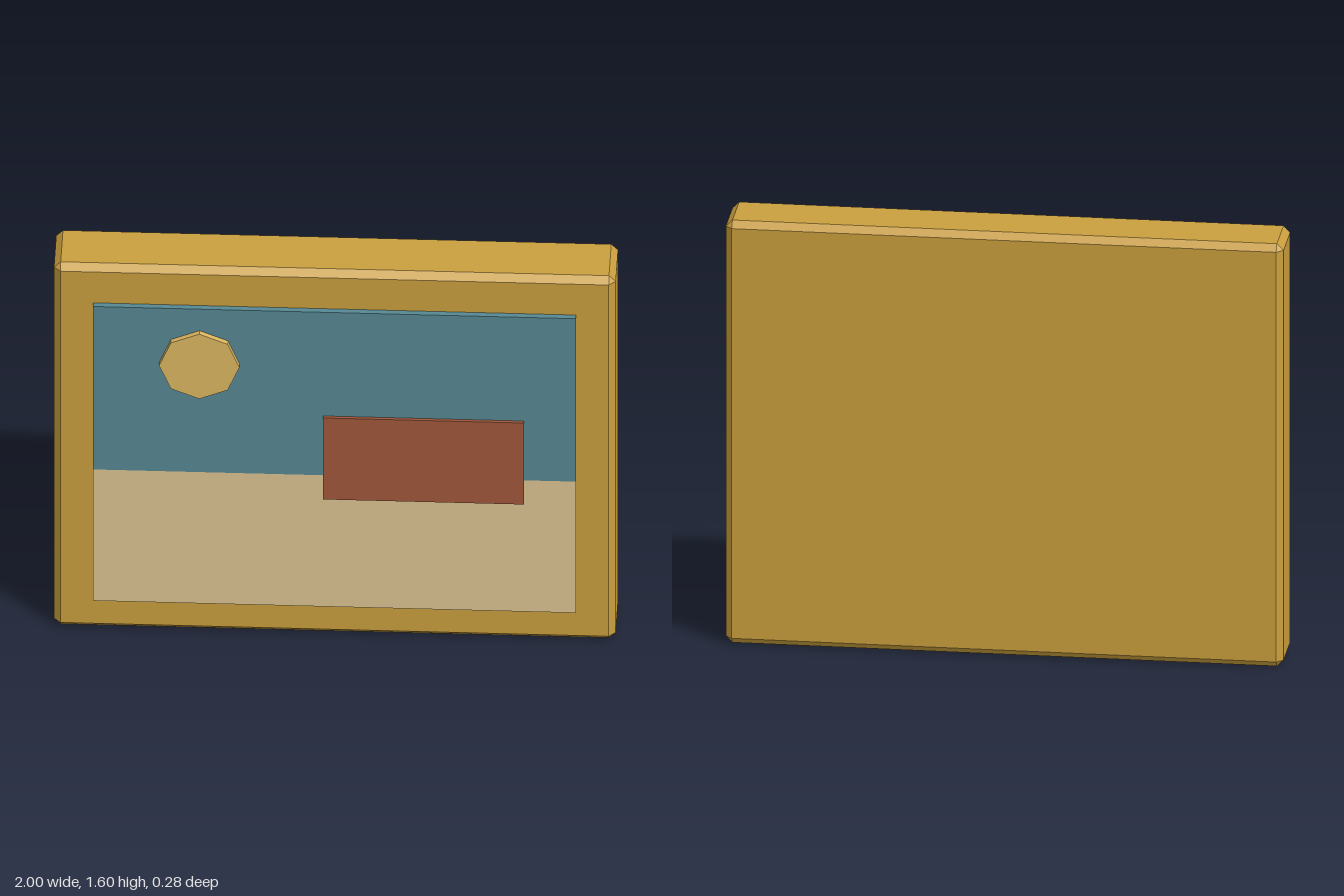
import * as THREE from 'three';
import { ConvexGeometry } from 'three/addons/geometries/ConvexGeometry.js';

const mat = (name, color) => {
  const m = new THREE.MeshStandardMaterial({ color });
  m.name = name;
  return m;
};

// Box with every edge cut by a flat chamfer
function chamferedBox(w, h, d, c) {
  const half = [w / 2, h / 2, d / 2];
  const points = [];
  for (const sx of [-1, 1]) for (const sy of [-1, 1]) for (const sz of [-1, 1]) {
    const signs = [sx, sy, sz];
    for (let axis = 0; axis < 3; axis++) {
      points.push(new THREE.Vector3(...half.map((v, i) => signs[i] * (i === axis ? v : v - c))));
    }
  }
  return new ConvexGeometry(points);
}

export function createModel() {
  const group = new THREE.Group();
  group.name = 'framedPicture';

  const gold = mat('gold', 0xc99e3d);
  const blue = mat('skyBlue', 0x568893);
  const sand = mat('sand', 0xdbc190);
  const brick = mat('brickRed', 0xa0573a);
  const yellow = mat('sunYellow', 0xdbb660);

  const add = (name, geometry, material, x, y, z) => {
    const mesh = new THREE.Mesh(geometry, material);
    mesh.name = name;
    mesh.position.set(x, y, z);
    group.add(mesh);
    return mesh;
  };
  // Box given by its limits
  const slab = (name, material, x0, x1, y0, y1, z0, z1) =>
    add(name, new THREE.BoxGeometry(x1 - x0, y1 - y0, z1 - z0), material,
      (x0 + x1) / 2, (y0 + y1) / 2, (z0 + z1) / 2);

  // Solid frame with chamfered edges
  add('frame', chamferedBox(2, 1.6, 0.237, 0.024), gold, 0, 0.8, -0.0215);

  // Landscape: sky above, ground below
  slab('sky', blue, -0.86, 0.86, 0.72, 1.44, 0.09, 0.119);
  slab('ground', sand, -0.86, 0.86, 0.14, 0.72, 0.09, 0.119);

  // Raised block straddling the horizon
  slab('house', brick, -0.04, 0.676, 0.622, 0.982, 0.11, 0.131);

  // Octagonal sun
  const sunGeometry = new THREE.CylinderGeometry(0.143, 0.143, 0.03, 8).toNonIndexed();
  sunGeometry.rotateX(Math.PI / 2);
  sunGeometry.computeVertexNormals();
  add('sun', sunGeometry, yellow, -0.48, 1.202, 0.125);

  return group;
}
